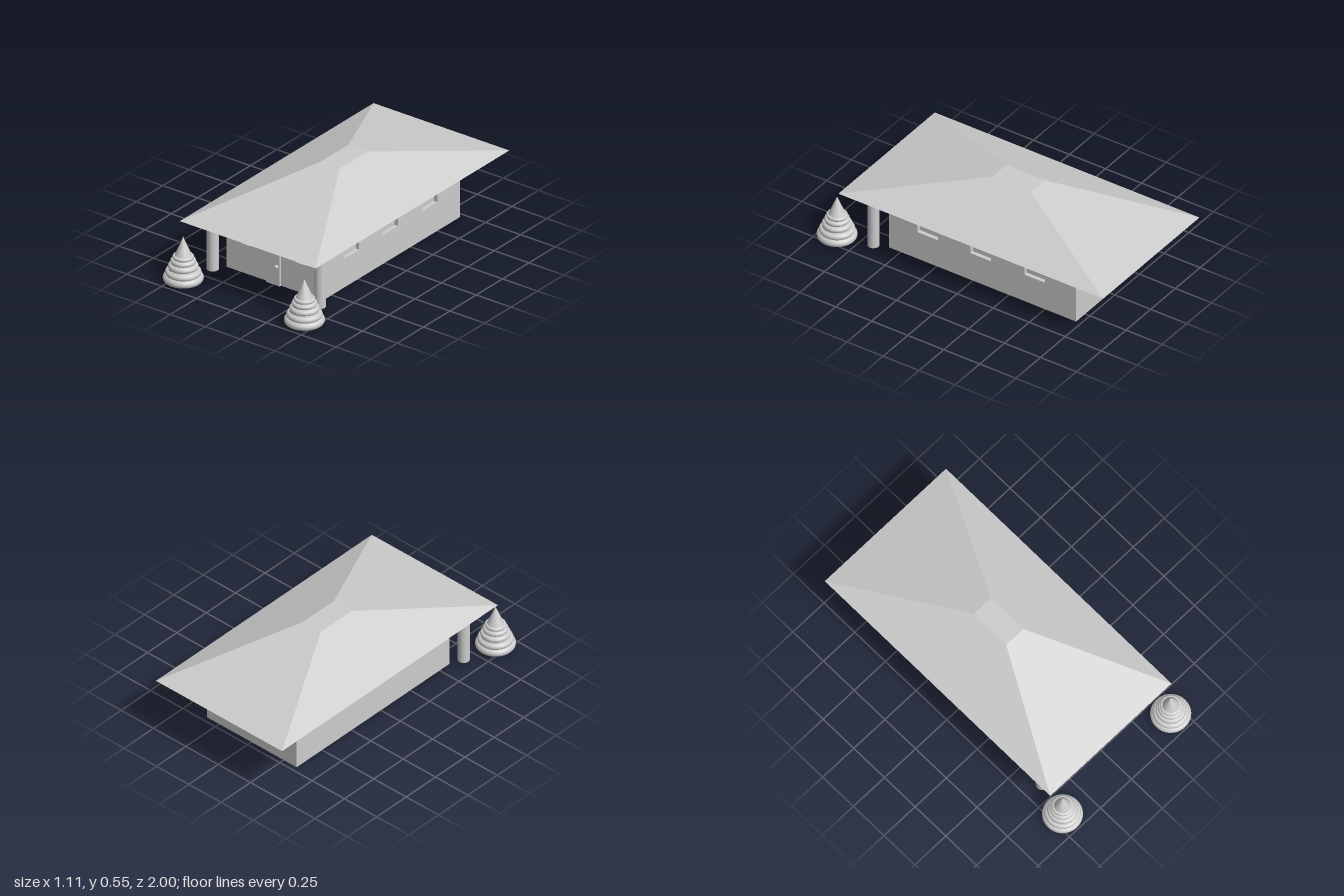
import * as THREE from 'three';

const CX = -0.004;                       // centre line of the house
const WALL = { w: 0.692, h: 0.355, z0: -0.717, z1: 0.583 };
const REVEAL = 0.025;                    // depth of the window recesses
const SILL = 0.186, HEAD = 0.284;

export function createModel() {
  const model = new THREE.Group();
  const grey = new THREE.MeshStandardMaterial({ color: 0xcccccc });
  grey.name = 'plain grey';

  const add = (name, geometry, x = 0, y = 0, z = 0, parent = model) => {
    const mesh = new THREE.Mesh(geometry, grey);
    mesh.name = name;
    mesh.position.set(x, y, z);
    parent.add(mesh);
    return mesh;
  };

  // Wall panel with window openings, given as [from, to] along the wall
  const wallPanel = (from, to, windows) => {
    const rect = (P, a, b, c, d) => {
      const p = new P();
      p.moveTo(a, c);
      p.lineTo(b, c);
      p.lineTo(b, d);
      p.lineTo(a, d);
      p.closePath();
      return p;
    };
    const shape = rect(THREE.Shape, from, to, 0, WALL.h);
    windows.forEach(([a, b]) => shape.holes.push(rect(THREE.Path, a, b, SILL, HEAD)));
    return new THREE.ExtrudeGeometry(shape, { depth: REVEAL, bevelEnabled: false });
  };

  // House body: inner core carrying the window panes, wrapped by the walls
  const depth = WALL.z1 - WALL.z0, midZ = (WALL.z0 + WALL.z1) / 2, half = WALL.w / 2;
  const house = new THREE.Group();
  house.name = 'house';
  model.add(house);
  add('innerCore', new THREE.BoxGeometry(WALL.w - 2 * REVEAL, WALL.h, depth - 2 * REVEAL),
    CX, WALL.h / 2, midZ, house);
  add('frontWall', wallPanel(-half, half, [[-0.237, -0.172], [0.157, 0.225]]),
    CX, 0, WALL.z1 - REVEAL, house);
  const back = add('backWall', wallPanel(-half, half, [[-0.125, -0.06], [0.08, 0.145]]),
    CX, 0, WALL.z0 + REVEAL, house);
  back.rotation.y = Math.PI;

  // Side walls run along z between the front and back walls
  const sideWindows = [[-0.5, -0.358], [-0.128, 0.016], [0.24, 0.385]];
  const flipped = sideWindows.map(([a, b]) => [-b, -a]);
  const left = add('leftWall', wallPanel(-WALL.z1 + REVEAL, -WALL.z0 - REVEAL, flipped),
    CX + half - REVEAL, 0, 0, house);
  left.rotation.y = Math.PI / 2;
  const right = add('rightWall', wallPanel(WALL.z0 + REVEAL, WALL.z1 - REVEAL, sideWindows),
    CX - half + REVEAL, 0, 0, house);
  right.rotation.y = -Math.PI / 2;

  // Door with round knob
  add('door', new THREE.BoxGeometry(0.099, 0.234, 0.014), -0.01, 0.117, WALL.z1 + 0.006);
  add('doorKnob', new THREE.SphereGeometry(0.012, 20, 14), 0.02, 0.122, WALL.z1 + 0.018);

  // Hipped roof: a box whose corners move to the eaves and the small flat top
  const roof = new THREE.BoxGeometry(1, 1, 1);
  const p = roof.attributes.position;
  for (let i = 0; i < p.count; i++) {
    const top = p.getY(i) > 0, r = p.getX(i) > 0, f = p.getZ(i) > 0;
    if (top) p.setXYZ(i, r ? 0.063 : -0.076, 0.545, f ? 0.055 : -0.21);
    else p.setXYZ(i, r ? 0.481 : -0.494, 0.355, f ? 0.838 : -1);
  }
  roof.computeVertexNormals();
  add('roof', roof);

  // Mirrored porch columns and ringed conical trees
  const rings = [ // height, outer radius, tube radius
    [0.03, 0.118, 0.024], [0.066, 0.105, 0.02], [0.104, 0.088, 0.018],
    [0.136, 0.074, 0.015], [0.163, 0.0625, 0.012],
  ];
  for (const side of [-1, 1]) {
    add(side < 0 ? 'rightColumn' : 'leftColumn',
      new THREE.CylinderGeometry(0.035, 0.035, 0.346, 32), CX + side * 0.385, 0.181, 0.663);

    const tree = new THREE.Group();
    tree.name = side < 0 ? 'rightTree' : 'leftTree';
    tree.position.set(side * 0.435 - 0.002, 0, 0.88);
    model.add(tree);
    add('treeCone', new THREE.ConeGeometry(0.087, 0.208, 32), 0, 0.186, 0, tree);
    for (const [y, outer, tube] of rings) {
      const ring = add('foliageRing', new THREE.TorusGeometry(outer - tube, tube, 14, 36), 0, y, 0, tree);
      ring.rotation.x = Math.PI / 2;
    }
  }
  return model;
}
